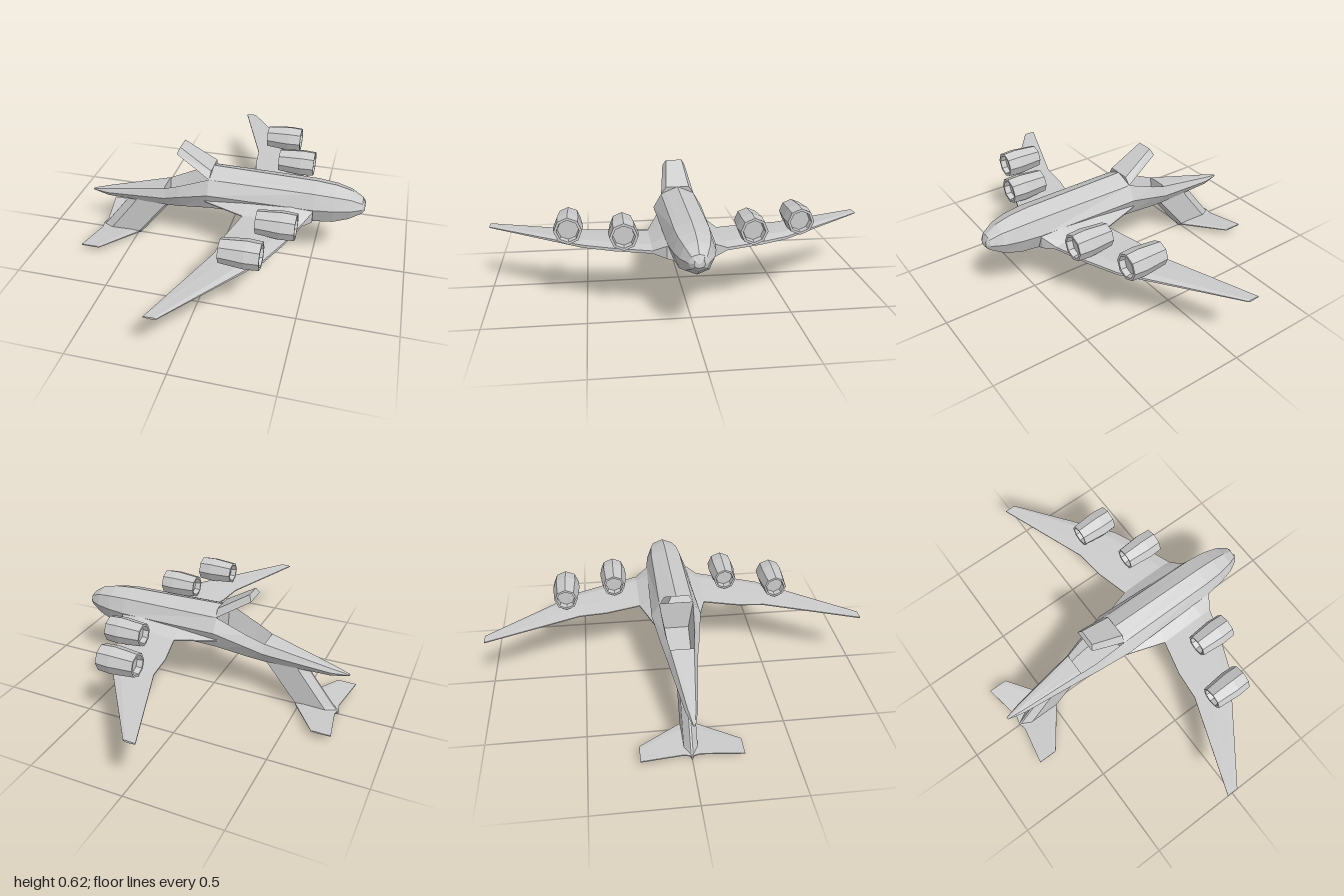
import * as THREE from 'three';

const mat = new THREE.MeshStandardMaterial({ color: 0xcccccc, flatShading: true });

// Skins a list of equal-length rings of [x, y, z] points and closes both ends.
function loft(rings) {
  const tris = [];
  const n = rings[0].length;
  for (let r = 0; r < rings.length - 1; r++) {
    const a = rings[r], b = rings[r + 1];
    for (let i = 0; i < n; i++) {
      const j = (i + 1) % n;
      tris.push([a[i], b[i], b[j]], [a[i], b[j], a[j]]);
    }
  }
  const cap = (ring, flip) => {
    const c = [0, 1, 2].map(k => ring.reduce((s, p) => s + p[k], 0) / n);
    ring.forEach((p, i) => {
      const q = ring[(i + 1) % n];
      tris.push(flip ? [c, q, p] : [c, p, q]);
    });
  };
  cap(rings[0], false);
  cap(rings[rings.length - 1], true);
  // Turn the faces outwards whichever way the rings run
  let vol = 0;
  for (const [a, b, c] of tris) {
    vol += a[0] * (b[1] * c[2] - b[2] * c[1]) + a[1] * (b[2] * c[0] - b[0] * c[2]) + a[2] * (b[0] * c[1] - b[1] * c[0]);
  }
  if (vol < 0) tris.forEach(t => t.reverse());
  const geo = new THREE.BufferGeometry();
  geo.setAttribute('position', new THREE.Float32BufferAttribute(tris.flat(2), 3));
  geo.computeVertexNormals();
  return geo;
}

export function createModel() {
  const group = new THREE.Group();
  const add = (name, geo) => {
    const mesh = new THREE.Mesh(geo, mat);
    mesh.name = name;
    group.add(mesh);
    return mesh;
  };
  const mirrored = (name, rings) => {
    add('left' + name, loft(rings));
    add('right' + name, loft(rings.map(r => r.map(([x, y, z]) => [x, y, -z]))));
  };

  // Fuselage: x, top y, [inner y, z], [shoulder y, z], [side y, z], [lower y, z], bottom y
  const hull = [
    [0.754, 0.39, [0.39, 0.015], [0.405, 0.02], [0.39, 0.025], [0.375, 0.02], 0.37],
    [0.74, 0.43, [0.423, 0.025], [0.418, 0.035], [0.39, 0.048], [0.362, 0.035], 0.35],
    [0.68, 0.47, [0.453, 0.042], [0.446, 0.058], [0.39, 0.08], [0.332, 0.055], 0.31],
    [0.60, 0.49, [0.468, 0.055], [0.46, 0.075], [0.39, 0.1], [0.31, 0.07], 0.28],
    [0.50, 0.50, [0.477, 0.06], [0.468, 0.083], [0.39, 0.113], [0.305, 0.08], 0.27],
    [-0.05, 0.513, [0.485, 0.065], [0.473, 0.088], [0.4, 0.13], [0.3, 0.088], 0.26],
    // open cargo bay
    [-0.052, 0.32, [0.32, 0.065], [0.473, 0.088], [0.4, 0.13], [0.3, 0.088], 0.26],
    [-0.22, 0.30, [0.30, 0.055], [0.4, 0.075], [0.345, 0.1], [0.265, 0.06], 0.234],
    [-0.309, 0.29, [0.29, 0.045], [0.363, 0.06], [0.312, 0.08], [0.25, 0.045], 0.22],
    // tail cone
    [-0.311, 0.365, [0.365, 0.045], [0.363, 0.06], [0.312, 0.08], [0.25, 0.045], 0.236],
    [-0.66, 0.287, [0.285, 0.014], [0.283, 0.02], [0.262, 0.03], [0.24, 0.018], 0.23],
    [-0.752, 0.262, [0.262, 0.003], [0.261, 0.005], [0.258, 0.007], [0.254, 0.004], 0.252],
  ];
  add('fuselage', loft(hull.map(([x, top, ...rest]) => {
    const bottom = rest.pop();
    return [
      [x, top, 0], ...rest.map(([y, z]) => [x, y, z]),
      [x, bottom, 0], ...rest.slice().reverse().map(([y, z]) => [x, y, -z]),
    ];
  })));

  // Open cargo ramp
  const rampRing = (x1, y1, x2, y2, w) => [
    [x1, y1, -w * 0.7], [x1, y1, w * 0.7], [x2, y2, w], [x2, y2, -w],
  ];
  add('cargoRamp', loft([
    rampRing(-0.045, 0.512, -0.05, 0.472, 0.088),
    rampRing(-0.215, 0.62, -0.23, 0.588, 0.062),
  ]));

  // Wings with root fairing: z, leading x, trailing x, upper y, lower y, bluntness
  const wing = [
    [0.08, 0.50, -0.14, 0.42, 0.295, 0.8],
    [0.115, 0.50, -0.06, 0.395, 0.305, 0.7],
    [0.18, 0.46, 0.15, 0.357, 0.322, 0.4],
    [0.36, 0.395, 0.105, 0.354, 0.317, 0.4],
    [0.51, 0.33, 0.09, 0.352, 0.318, 0.4],
    [1.0, -0.03, -0.09, 0.334, 0.324, 0.4],
  ];
  const rib = ([z, le, te, up, low, blunt]) => {
    const c = le - te, mid = (up + low) / 2, h = (up - low) / 2 * blunt;
    return [
      [le, mid + h, z], [le - c * 0.2, up, z], [le - c * 0.6, up - (up - mid) * 0.3, z], [te, mid + 0.003, z],
      [te, mid - 0.003, z], [le - c * 0.6, low, z], [le - c * 0.2, low, z], [le, mid - h, z],
    ];
  };
  mirrored('Wing', wing.map(rib));

  // Four hollow-ended engine pods
  const pod = [
    [0, 0.03], [0.046, 0.03], [0.05, 0], [0.061, 0], [0.0725, 0.125],
    [0.068, 0.195], [0.055, 0.195], [0.051, 0.165], [0, 0.165],
  ].map(([r, y]) => new THREE.Vector2(r, y));
  const podGeo = new THREE.LatheGeometry(pod, 8).rotateZ(-Math.PI / 2);
  for (const side of [1, -1]) {
    for (const [name, x, z] of [['InnerEngine', 0.252, 0.313], ['OuterEngine', 0.136, 0.577]]) {
      add((side > 0 ? 'left' : 'right') + name, podGeo).position.set(x, 0.416, z * side);
    }
  }

  // Swept fin with bevelled edges: y, leading x, trailing x, half thickness
  add('tailFin', loft([
    [0.25, -0.29, -0.535, 0.034],
    [0.22, -0.315, -0.555, 0.034],
    [0.045, -0.455, -0.69, 0.034],
    [0.022, -0.475, -0.715, 0.033],
    [0.005, -0.487, -0.715, 0.015],
  ].map(([y, le, te, w]) => [
    [le, y, -w * 0.3], [le, y, w * 0.3], [le - 0.02, y, w], [te + 0.05, y, w],
    [te, y, w * 0.15], [te, y, -w * 0.15], [te + 0.05, y, -w], [le - 0.02, y, -w],
  ])));

  // Tailplane halves
  mirrored('Tailplane', [
    [0, -0.475, -0.715, 0.036, 0.016, 0.5],
    [0.04, -0.49, -0.705, 0.035, 0.02, 0.5],
    [0.25, -0.64, -0.742, 0.048, 0.04, 0.5],
  ].map(rib));

  return group;
}
